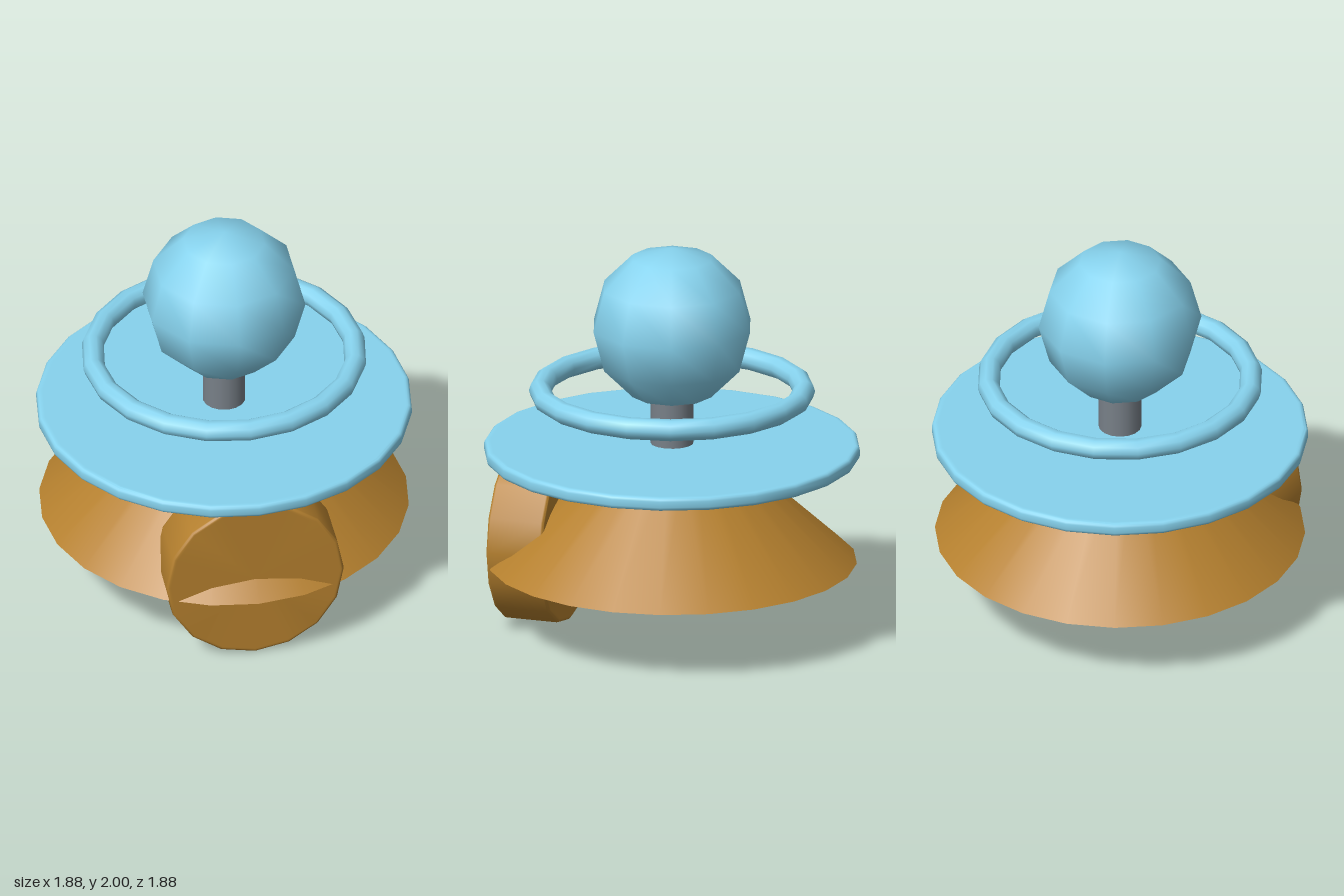
import * as THREE from 'three';
import { toCreasedNormals } from 'three/addons/utils/BufferGeometryUtils.js';

const blue = new THREE.MeshStandardMaterial({ color: 0x87d3ee });
const ochre = new THREE.MeshStandardMaterial({ color: 0xb5802e });
const slate = new THREE.MeshStandardMaterial({ color: 0x788088 });

// Round plate centred on the origin, axis along y, with softly rounded rims
function roundedDisc(radius, height, bevel, sides) {
  const h = height / 2;
  const steps = 3;
  const profile = [new THREE.Vector2(0, -h), new THREE.Vector2(radius - bevel * 1.5, -h)];
  for (const end of [-1, 1]) {
    for (let i = 0; i <= steps; i++) {
      const a = (end < 0 ? i - steps : i) / steps * Math.PI / 2;
      profile.push(new THREE.Vector2(
        radius - bevel + bevel * Math.cos(a),
        end * (h - bevel) + bevel * Math.sin(a)));
    }
  }
  profile.push(new THREE.Vector2(radius - bevel * 1.5, h), new THREE.Vector2(0, h));
  return toCreasedNormals(new THREE.LatheGeometry(profile, sides), Math.PI / 5);
}

export function createModel() {
  const model = new THREE.Group();
  model.name = 'model';

  function add(name, geometry, material, x, y, z) {
    const mesh = new THREE.Mesh(geometry, material);
    mesh.name = name;
    mesh.position.set(x, y, z);
    model.add(mesh);
    return mesh;
  }

  // Flared base, its narrow end tucked into the plate
  const top = 0.94, bottom = 0.365;
  add('coneBase', new THREE.CylinderGeometry(0.29, 0.925, top - bottom, 24),
    ochre, 0, (top + bottom) / 2, 0);

  // Upright wheel cutting through the front of the base
  const wheel = add('frontWheel', roundedDisc(0.452, 0.295, 0.015, 16), ochre, 0, 0.452, 0.6825);
  wheel.rotation.x = Math.PI / 2;

  // Wide plate
  add('plate', roundedDisc(0.94, 0.07, 0.02, 24), blue, 0, 0.945, 0);

  // Post between plate and ball
  add('post', new THREE.CylinderGeometry(0.108, 0.108, 0.36, 16), slate, 0, 1.13, 0);

  // Floating ring around the ball
  const ring = add('ring', new THREE.TorusGeometry(0.66, 0.055, 10, 20), blue, 0, 1.25, 0);
  ring.rotation.x = Math.PI / 2;

  // Ball, turned so a corner points to the front
  const ball = add('ball', new THREE.SphereGeometry(0.41, 10, 6), blue, 0, 1.59, 0);
  ball.rotation.y = Math.PI / 2;

  return model;
}
